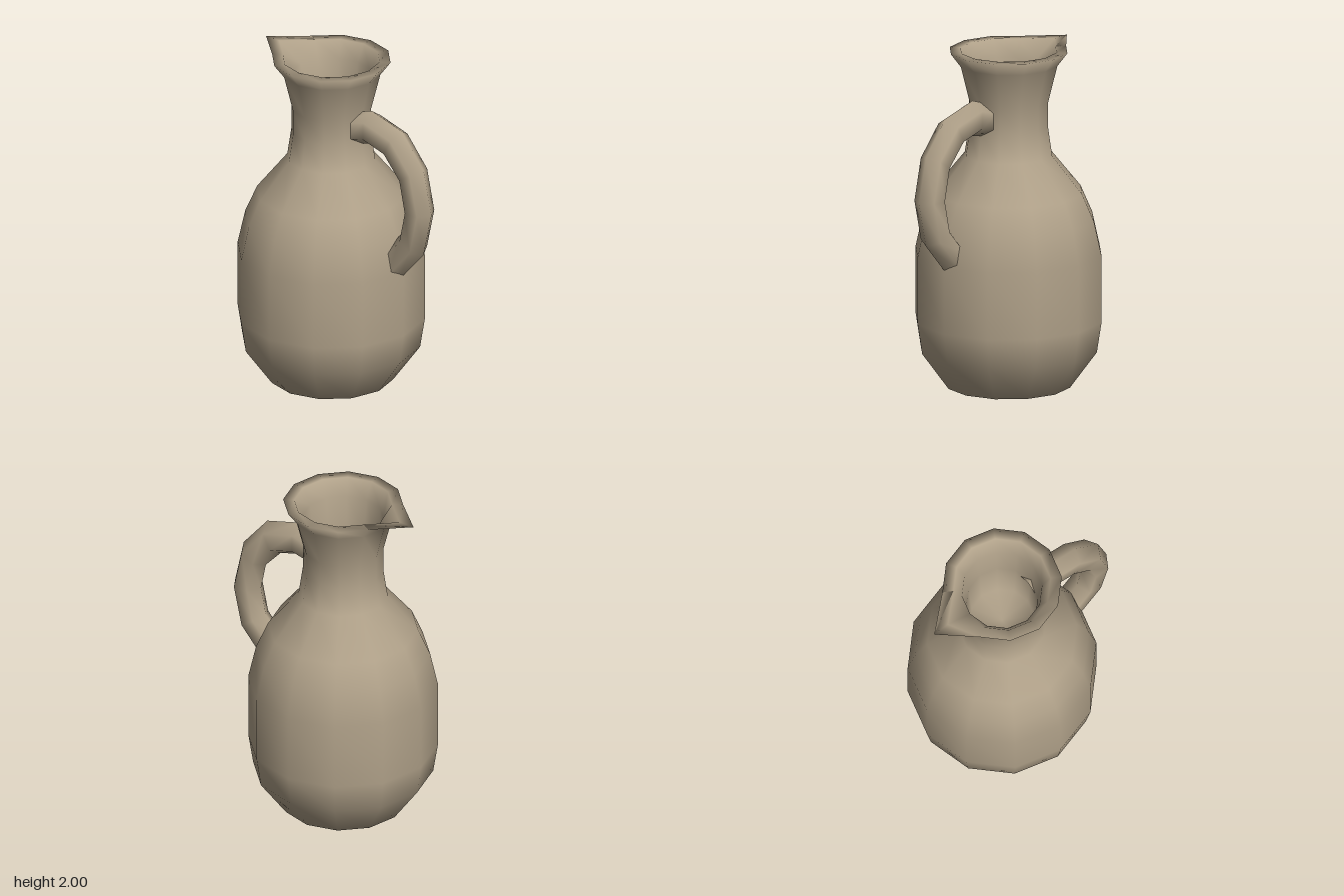
import * as THREE from 'three';
import { mergeVertices } from 'three/addons/utils/BufferGeometryUtils.js';

const AXIS_X = -0.11; // the vessel sits left of centre, balancing the handle
const clay = new THREE.MeshStandardMaterial({ color: 0xb0a189 });

// Weld coincident corners so that the shading runs smoothly across the seam
function smooth(geometry) {
  geometry.deleteAttribute('uv');
  geometry.deleteAttribute('normal');
  const welded = mergeVertices(geometry, 1e-4);
  welded.computeVertexNormals();
  return welded;
}

// Twelve-sided vessel: outer wall, lip and tapering inner well in one profile
function vesselGeometry() {
  const profile = [
    [0, 0], [0.365, 0], [0.525, 0.22], [0.553, 0.4], [0.553, 0.8], [0.508, 1.0],
    [0.438, 1.16], [0.26, 1.38], [0.235, 1.55], [0.235, 1.7], [0.29, 1.92], [0.35, 2],
    [0.285, 2], [0.235, 1.9], [0.21, 1.7], [0.19, 1.4], [0, 1.4],
  ].map(([r, y]) => new THREE.Vector2(r, y));
  const geometry = new THREE.LatheGeometry(profile, 12);

  // Pouring spout: draw the leftmost corners of the lip out to a point
  const p = geometry.attributes.position;
  for (let i = 0; i < p.count; i++) {
    const x = p.getX(i);
    if (p.getY(i) > 1.99 && Math.abs(p.getZ(i)) < 0.01 && x < 0) {
      p.setX(i, x < -0.32 ? -0.5 : -0.4);
    }
  }
  return smooth(geometry);
}

// Hexagonal handle lofted through pairs of outer and inner edge points
function handleGeometry() {
  const sections = [
    [0.08, 1.715, 0.08, 1.52], [0.2, 1.755, 0.2, 1.545], [0.43, 1.69, 0.335, 1.505],
    [0.597, 1.49, 0.44, 1.39], [0.658, 1.22, 0.475, 1.22],
    [0.597, 0.955, 0.44, 1.055], [0.4, 0.735, 0.33, 0.93],
  ];
  const sides = 6, halfWidth = 0.09;
  const positions = [], index = [];
  sections.forEach(([ox, oy, ix, iy], s) => {
    for (let k = 0; k < sides; k++) {
      const a = (k / sides) * Math.PI * 2;
      const t = (1 - Math.cos(a)) / 2;
      positions.push(ox + (ix - ox) * t, oy + (iy - oy) * t, halfWidth * Math.sin(a));
      if (s === 0) continue;
      const next = (k + 1) % sides;
      const a0 = (s - 1) * sides + k, a1 = (s - 1) * sides + next;
      const b0 = s * sides + k, b1 = s * sides + next;
      index.push(a0, a1, b0, a1, b1, b0);
    }
  });
  const geometry = new THREE.BufferGeometry();
  geometry.setAttribute('position', new THREE.Float32BufferAttribute(positions, 3));
  geometry.setIndex(index);
  geometry.computeVertexNormals();
  return geometry;
}

export function createModel() {
  const model = new THREE.Group();
  model.name = 'pitcher';

  const vessel = new THREE.Mesh(vesselGeometry(), clay);
  vessel.name = 'vessel';
  vessel.position.x = AXIS_X;

  const handle = new THREE.Mesh(handleGeometry(), clay);
  handle.name = 'handle';

  model.add(vessel, handle);
  return model;
}
